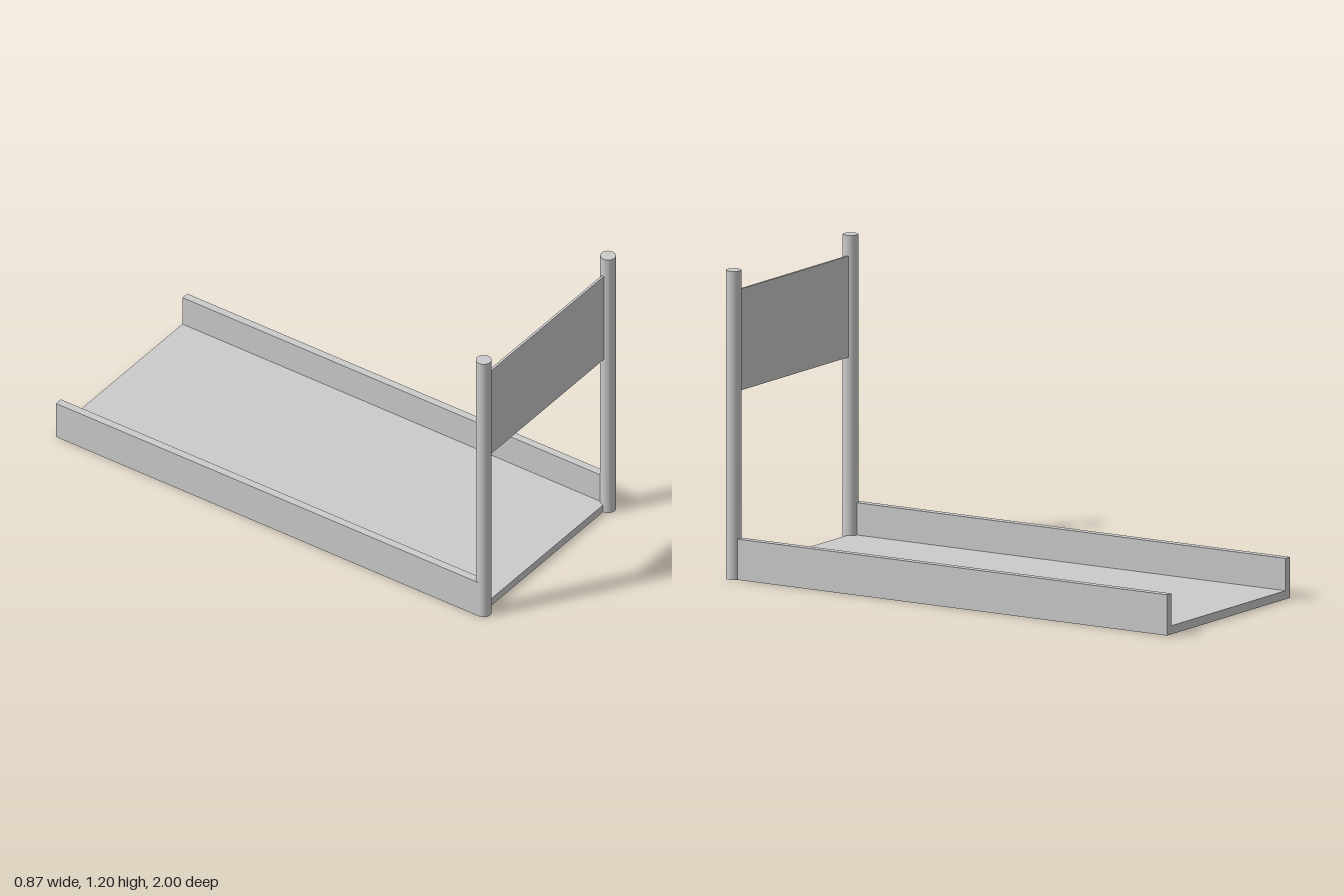
import * as THREE from 'three';

export function createModel() {
  const model = new THREE.Group();
  const material = new THREE.MeshStandardMaterial({ color: 0xcccccc });

  // Adds a box given by its lower and upper limits on each axis
  function addBox(name, [x0, x1], [y0, y1], [z0, z1]) {
    const mesh = new THREE.Mesh(new THREE.BoxGeometry(x1 - x0, y1 - y0, z1 - z0), material);
    mesh.position.set((x0 + x1) / 2, (y0 + y1) / 2, (z0 + z1) / 2);
    mesh.name = name;
    model.add(mesh);
  }

  const postRadius = 0.03, postHeight = 1.195, postX = 0.407, postZ = 0.97;
  const length = [-1, 0.968];

  // Flat deck with a raised rail along each long side
  addBox('deck', [-0.437, 0.421], [0, 0.033], length);
  addBox('rightRail', [-0.437, -0.405], [0.033, 0.158], length);
  addBox('leftRail', [0.39, 0.421], [0.033, 0.158], length);

  // Round posts at the front corners
  const postGeometry = new THREE.CylinderGeometry(postRadius, postRadius, postHeight, 48);
  for (const side of [-1, 1]) {
    const post = new THREE.Mesh(postGeometry, material);
    post.position.set(side * postX, postHeight / 2, postZ);
    post.name = side > 0 ? 'leftPost' : 'rightPost';
    model.add(post);
  }

  // Thin panel held between the posts
  addBox('panel', [-postX, postX], [0.723, 1.115], [0.962, 0.972]);

  return model;
}
